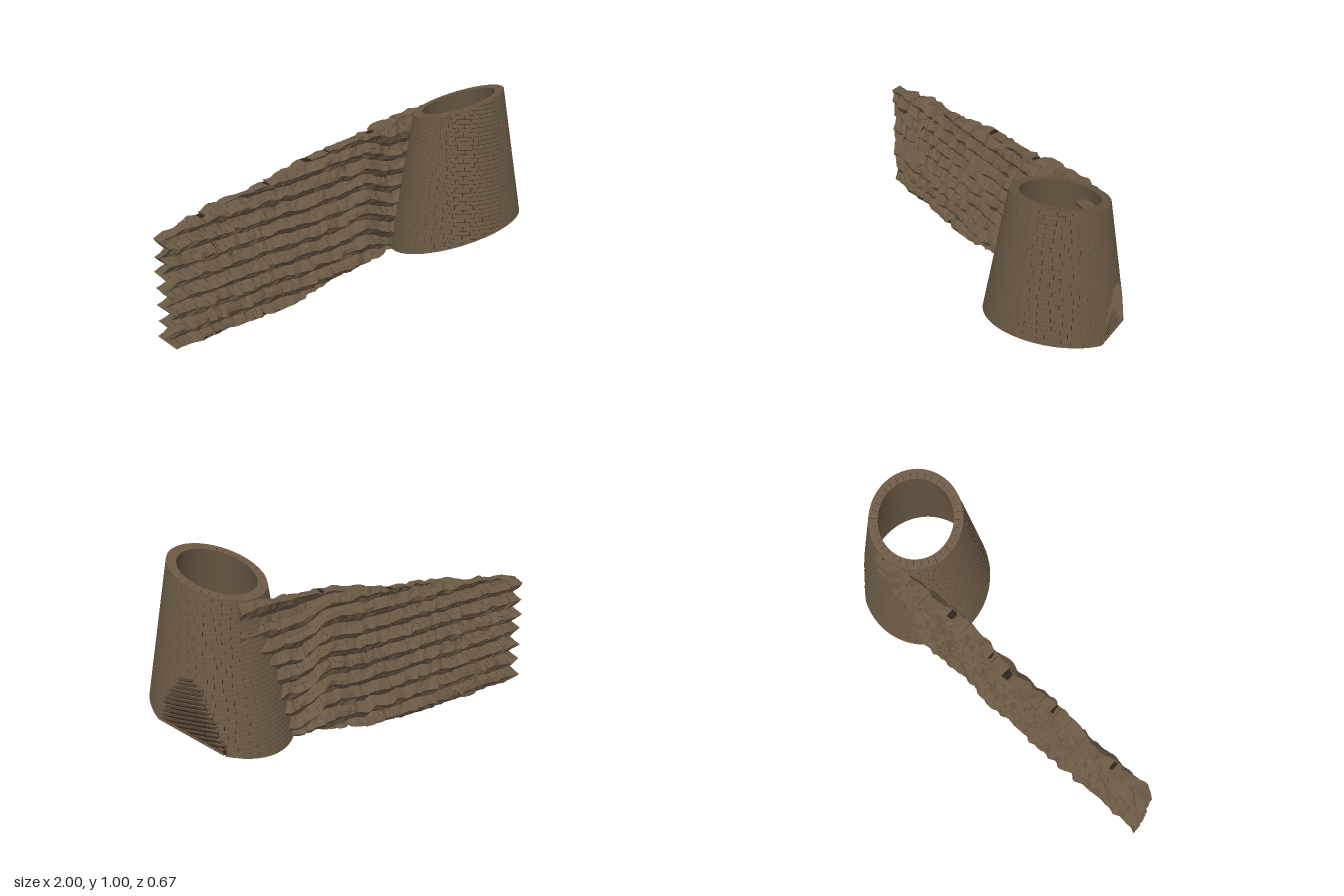
import * as THREE from 'three';
import { mergeGeometries } from 'three/addons/utils/BufferGeometryUtils.js';

const stone = new THREE.MeshStandardMaterial({ color: 0x6b5a45, flatShading: true, side: THREE.DoubleSide });
const mortar = new THREE.MeshStandardMaterial({ color: 0x2b241b, flatShading: true, side: THREE.DoubleSide });

const ROW = 0.0215; // course height
const SLOPE_X = 0.168, SLOPE_Z = 0.3; // the whole piece leans with the hillside
const CX = 0.662, BASE = 0.22, HEIGHT = 0.7;
const { lerp, clamp, smoothstep } = THREE.MathUtils;

// Moves every vertex of a unit box (u, v, w in 0..1) by a rule
function mapBox(segU, segV, segW, rule) {
  const g = new THREE.BoxGeometry(1, 1, 1, segU, segV, segW);
  const p = g.attributes.position;
  for (let i = 0; i < p.count; i++) {
    p.setXYZ(i, ...rule(p.getX(i) + 0.5, p.getY(i) + 0.5, p.getZ(i) + 0.5));
  }
  return g;
}

function mesh(name, parts, material) {
  const g = mergeGeometries(parts).toNonIndexed();
  g.computeVertexNormals();
  const m = new THREE.Mesh(g, material);
  m.name = name;
  return m;
}

// Seeded smooth noise in -1..1
function hash(i, j) {
  const s = Math.sin(i * 127.1 + j * 311.7) * 43758.5453;
  return (s - Math.floor(s)) * 2 - 1;
}
function noise(x, y) {
  const i = Math.floor(x), j = Math.floor(y);
  const u = smoothstep(x - i, 0, 1), v = smoothstep(y - j, 0, 1);
  return lerp(lerp(hash(i, j), hash(i + 1, j), u), lerp(hash(i, j + 1), hash(i + 1, j + 1), u), v);
}

// ---- Tower: leaning tapered tube with one flat arch-shaped cut in its side ----
// a: angle, t: 0 bottom to 1 top, d: 0 outer face to 1 inner face, recess: extra depth of the cut
function towerPoint(a, t, d, recess = 0) {
  const sx = Math.sin(a), sz = Math.cos(a);
  let r = lerp(0.335, 0.225, t);
  const facing = sx * 0.866 - sz * 0.5;
  if (r * facing > 0.29) r = (0.29 - recess) / facing;
  r = lerp(r, Math.min(r - 0.012, lerp(0.298, 0.18, t)), d);
  return [CX + sx * r, BASE + HEIGHT * t + r * (sx * SLOPE_X + sz * SLOPE_Z), sz * r];
}
// Height fraction at which the outer face reaches level y
function towerT(a, y) {
  const s = Math.sin(a) * SLOPE_X + Math.cos(a) * SLOPE_Z;
  return clamp((y - BASE - 0.335 * s) / (HEIGHT - 0.11 * s), 0, 1);
}

function createTower() {
  const tower = new THREE.Group();
  tower.name = 'tower';
  const bricks = [], rims = [], count = 20, step = (Math.PI * 2) / count;

  // level courses, trimmed by the sloping top and bottom; the cut's courses lean inwards
  for (let row = 4; row < 47; row++) {
    const y0 = row * ROW, y1 = y0 + ROW - 0.0025;
    for (let k = 0; k < count; k++) {
      const a0 = (k + (row % 2) / 2 + hash(row, k) * 0.15) * step;
      const a1 = (k + 1 + (row % 2) / 2 + hash(row, (k + 1) % count) * 0.15) * step - 0.011;
      const mid = (a0 + a1) / 2;
      if (towerT(mid, y1) - towerT(mid, y0) < 0.003) continue;
      bricks.push(mapBox(4, 1, 1, (u, v, w) => {
        const a = lerp(a0, a1, u);
        return towerPoint(a, towerT(a, lerp(y0, y1, v)), 0.35 * (1 - w), 0.009 * (1 - v));
      }));
    }
  }
  // radial stones on both rims
  for (const [t0, t1] of [[0, 0.012], [0.988, 1]]) {
    for (let k = 0; k < 36; k++) {
      rims.push(mapBox(2, 1, 1, (u, v, w) =>
        towerPoint((k + u * 0.94) * Math.PI / 18, lerp(t0, t1, v), lerp(1, 0.01, w))));
    }
  }
  // mortar bed behind the bricks and the plain inner lining
  const bed = mapBox(96, 24, 1, (u, v, w) =>
    towerPoint(u * Math.PI * 2, lerp(0.004, 0.996, v), lerp(0.9, 0.12, w), 0.006));
  const lining = mapBox(72, 12, 1, (u, v, w) =>
    towerPoint(u * Math.PI * 2, lerp(0.002, 0.998, v), lerp(1, 0.92, w)));
  tower.add(mesh('towerBricks', bricks, stone), mesh('towerRims', rims, stone),
    mesh('towerMortar', [bed], mortar), mesh('towerLining', [lining], stone));
  return tower;
}

// ---- Wall: rippling courses running into the tower ----
const X0 = -1, X1 = 0.7;
const wallLow = (x) => Math.max(0, 0.155 + SLOPE_X * (x - CX));
const wallHigh = (x) => 0.87 + SLOPE_X * (x - CX) - 0.028 * smoothstep(x, 0.3, 0.6);

function wallPoint(x, y, side, half, inset) {
  const yy = clamp(y, wallLow(x) + inset, wallHigh(x) - inset);
  // courses sag near the tower
  const bend = 0.015 * smoothstep(x, 0.0, 0.2) - 0.06 * smoothstep(x, 0.2, 0.4);
  const phase = yy / (ROW * 4) + noise(x * 5, yy * 3) * 0.07;
  const wave = Math.abs((phase - Math.floor(phase)) * 2 - 1) * 2 - 1;
  const rough = noise(x * 30, yy * 24 + 9);
  const z = -0.212 + wave * 0.017 + rough * 0.011 + side * (half + 0.007 * noise(x * 40 + side * 7, yy * 34));
  const fade = smoothstep(yy, 0.02, 0.1);
  const py = yy + fade * (bend * smoothstep(yy, wallLow(x), wallLow(x) + 0.1)
    * smoothstep(wallHigh(x) - yy, 0, 0.1) + 0.009 * noise(x * 20 + 40, yy * 12 + side * 0.8));
  const ragged = 0.02 * (1 + wave) * (1 - smoothstep(x, -1, -0.3));
  return [x + ragged + (inset ? 0.003 : 0), Math.max(0, py), z];
}

function createWall() {
  const wall = new THREE.Group();
  wall.name = 'wall';
  const bricks = [], beds = [], length = 0.068;
  for (let row = 0; row < 42; row++) {
    const y0 = row * ROW, y1 = y0 + ROW;
    for (let k = 0; k < 26; k++) {
      const joint = (n) => clamp(X0 + (n - (row % 2) / 2 + hash(row + 5, n) * 0.15) * length, X0, X1);
      const a = k === 0 ? X0 : joint(k), b = k === 25 ? X1 : joint(k + 1) - 0.002;
      const mid = (a + b) / 2;
      if (b - a < 0.005 || y1 < wallLow(mid) + 0.003 || y0 > wallHigh(mid) - 0.003) continue;
      bricks.push(mapBox(4, 1, 1, (u, v, w) =>
        wallPoint(lerp(a, b, u), lerp(y0, y1 - 0.0015, v), w * 2 - 1, 0.026, 0)));
    }
    // mortar strip inside the course
    if (y0 < wallHigh(X1)) {
      beds.push(mapBox(100, 1, 1, (u, v, w) =>
        wallPoint(lerp(X0, X1 - 0.005, u), lerp(y0, y1, v), w * 2 - 1, 0.021, 0.004)));
    }
  }
  wall.add(mesh('wallBricks', bricks, stone), mesh('wallMortar', beds, mortar));
  return wall;
}

export function createModel() {
  const model = new THREE.Group();
  model.name = 'towerWithWall';
  model.add(createTower(), createWall());
  return model;
}
